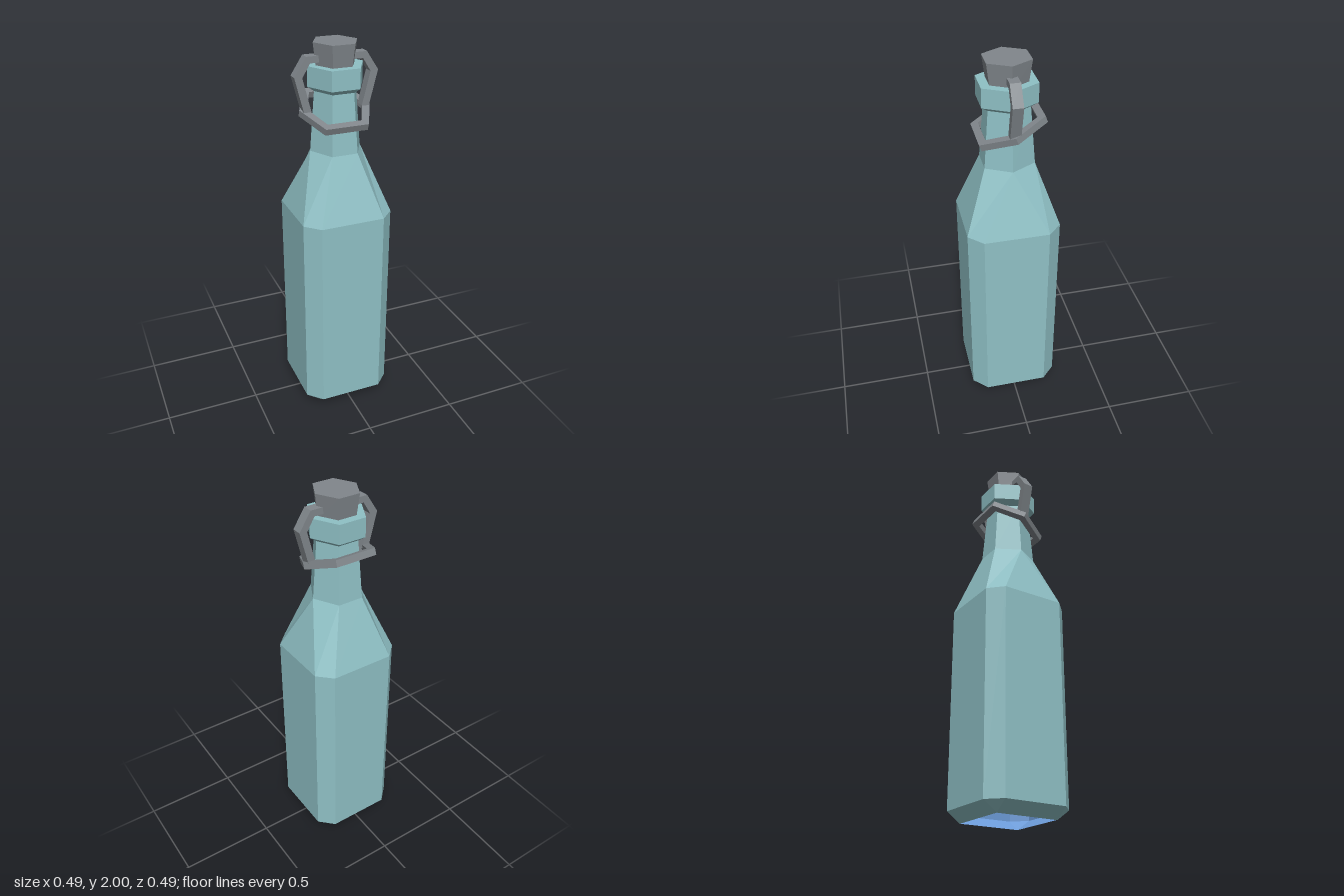
import * as THREE from 'three';

// Eight-point ring: chamfered square with half size s and chamfer start c
const octagon = (y, s, c) => [[s, c], [c, s], [-c, s], [-s, c], [-s, -c], [-c, -s], [c, -s], [s, -c]]
  .map(([x, z]) => new THREE.Vector3(x, y, z));

// Hexagon written as eight points (the side corners count twice) so it joins the octagon
const hexagon = (y, rx, rz) => [[rx, 0], [rx / 2, rz], [-rx / 2, rz], [-rx, 0], [-rx, 0], [-rx / 2, -rz], [rx / 2, -rz], [rx, 0]]
  .map(([x, z]) => new THREE.Vector3(x, y, z));

// Skin a stack of rings, dropping collapsed triangles
function loft(rings, inward = false) {
  const points = [];
  const tri = new THREE.Triangle();
  const add = (a, b, c) => {
    tri.set(a, b, c);
    if (tri.getArea() > 1e-7) points.push(...(inward ? [a, c, b] : [a, b, c]));
  };
  for (let j = 0; j < rings.length - 1; j++) {
    for (let i = 0; i < 8; i++) {
      const k = (i + 1) % 8;
      add(rings[j][i], rings[j + 1][i], rings[j][k]);
      add(rings[j][k], rings[j + 1][i], rings[j + 1][k]);
    }
  }
  const geometry = new THREE.BufferGeometry().setFromPoints(points);
  geometry.computeVertexNormals();
  return geometry;
}

function plate(outline, hole, depth) {
  const shape = new THREE.Shape(outline.map(([x, y]) => new THREE.Vector2(x, y)));
  if (hole) shape.holes.push(new THREE.Path(hole.map(([x, y]) => new THREE.Vector2(x, y))));
  const geometry = new THREE.ExtrudeGeometry(shape, { depth, bevelEnabled: false });
  geometry.translate(0, 0, -depth / 2);
  return geometry;
}

export function createModel() {
  const group = new THREE.Group();
  const material = (name, color) => {
    const m = new THREE.MeshStandardMaterial({ color });
    m.name = name;
    return m;
  };
  const glass = material('teal glass', 0x8fc0c5);
  const inside = material('blue inside', 0x6c9bd8);
  const metal = material('grey metal', 0x80868b);
  const add = (name, geometry, mat) => {
    const mesh = new THREE.Mesh(geometry, mat);
    mesh.name = name;
    group.add(mesh);
    return mesh;
  };

  // Body, shoulder and neck, open underneath
  const bodyRings = [
    octagon(0.0, 0.17, 0.17), octagon(0.053, 0.243, 0.17), octagon(1.13, 0.243, 0.17),
    hexagon(1.46, 0.137, 0.128), hexagon(1.765, 0.112, 0.105),
  ];
  add('bottle', loft(bodyRings), glass);
  const lining = add('bottleInside', loft(bodyRings, true), inside);
  lining.scale.set(0.98, 1, 0.98);

  // Lip with a flat top
  add('lip', loft([
    hexagon(1.765, 0.112, 0.105), hexagon(1.79, 0.147, 0.138),
    hexagon(1.89, 0.147, 0.138), hexagon(1.89, 0, 0),
  ]), glass);

  // Stopper, wider at the top
  add('stopper', loft([
    hexagon(1.87, 0.1, 0.092), hexagon(2.0, 0.115, 0.109), hexagon(2.0, 0, 0),
  ]), metal);

  // Tilted ring round the neck
  const hex = (r, flat, z) => [[r, 0], [flat, z], [-flat, z], [-r, 0], [-flat, -z], [flat, -z]];
  const ringGeometry = plate(hex(0.19, 0.112, 0.172), hex(0.148, 0.09, 0.135), 0.035);
  ringGeometry.rotateX(Math.PI / 2);
  const ring = add('neckRing', ringGeometry, metal);
  ring.rotation.x = THREE.MathUtils.degToRad(20);
  ring.position.set(0, 1.66, -0.007);

  // Bent side wires from the ring up to the stopper
  const wire = [[0.09, 1.94], [0.158, 1.94], [0.22, 1.845], [0.172, 1.66], [0.135, 1.67], [0.179, 1.84], [0.138, 1.907], [0.09, 1.907]];
  for (const side of [1, -1]) {
    const outline = wire.map(([x, y]) => [x * side, y]);
    add(side > 0 ? 'leftWire' : 'rightWire', plate(outline, null, 0.053), metal).position.z = -0.003;
  }
  return group;
}
